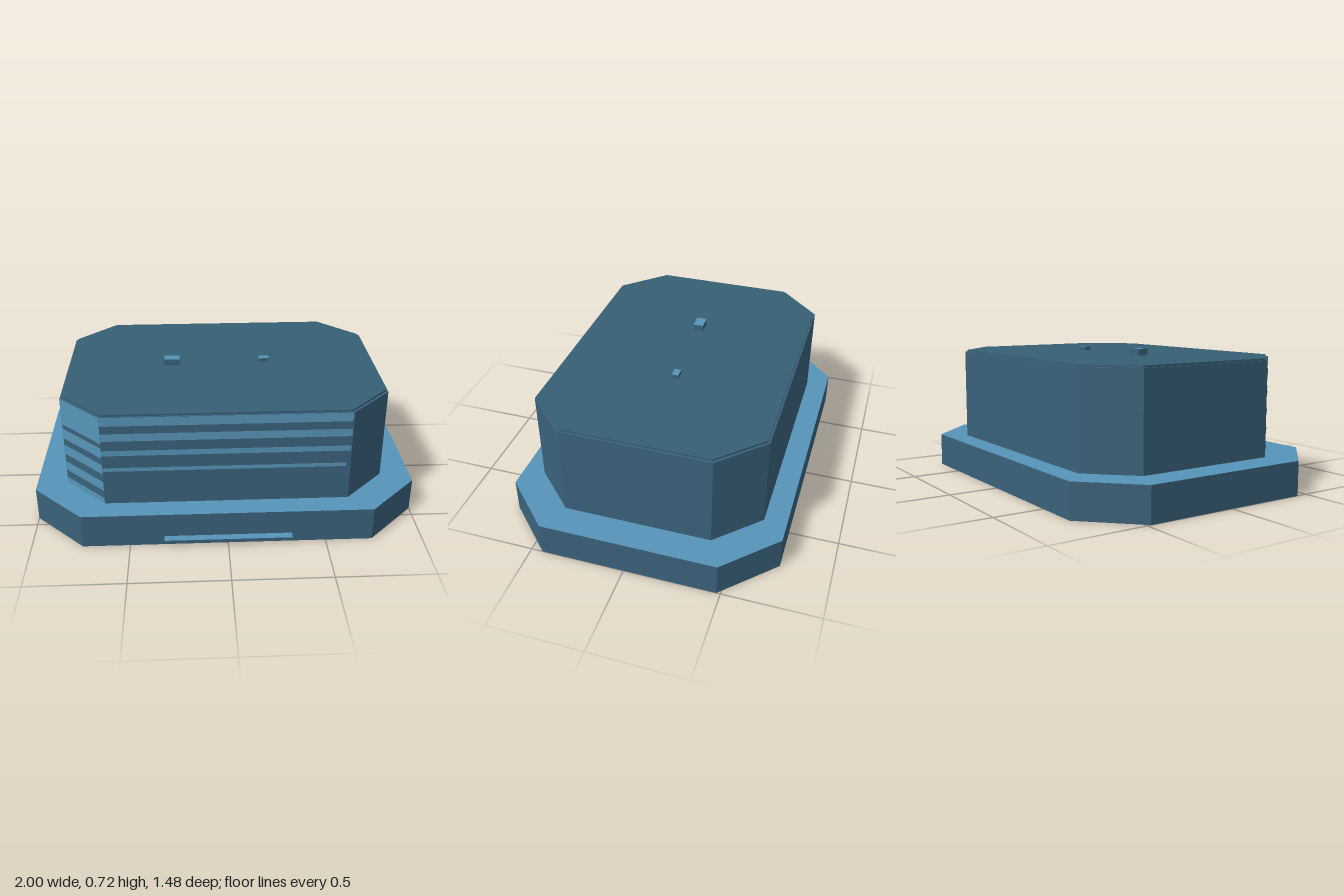
import * as THREE from 'three';

const flat = (name, color) => {
  const m = new THREE.MeshStandardMaterial({ color, side: THREE.DoubleSide });
  m.name = name;
  return m;
};

export function createModel() {
  const model = new THREE.Group();
  model.name = 'steppedOctagonalBlock';
  const dark = flat('slateBlue', 0x3a627b);
  const light = flat('lightBlue', 0x5694b8);
  const roofColor = flat('roofBlue', 0x365f75);
  const midZ = -0.02;

  const add = (name, geometry, material, x = 0, y = 0, z = 0) => {
    const mesh = new THREE.Mesh(geometry, material);
    mesh.name = name;
    mesh.position.set(x, y, z);
    model.add(mesh);
    return mesh;
  };

  // Rectangle with cut corners: half width, half depth, cut along x and z
  const octagon = (w, d, cx, cz) => [
    [w, d - cz], [w - cx, d], [cx - w, d], [-w, d - cz],
    [-w, cz - d], [cx - w, -d], [w - cx, -d], [w, cz - d],
  ];

  // Upright walls around an outline
  const walls = (pts, y0, y1) => {
    const pos = [];
    pts.forEach(([x, z], i) => {
      const [u, v] = pts[(i + 1) % pts.length];
      pos.push(x, y0, z, x, y1, z, u, y1, v, x, y0, z, u, y1, v, u, y0, v);
    });
    const g = new THREE.BufferGeometry();
    g.setAttribute('position', new THREE.Float32BufferAttribute(pos, 3));
    g.computeVertexNormals();
    return g;
  };

  // Horizontal face filling an outline, facing up
  const lid = (pts) => new THREE.ShapeGeometry(
    new THREE.Shape(pts.map(([x, z]) => new THREE.Vector2(x, -z)))).rotateX(-Math.PI / 2);

  // Base: an open-bottomed shell with a light deck
  const base = octagon(1, 0.72, 0.26, 0.26);
  add('baseWalls', walls(base, 0, 0.18), dark, 0, 0, midZ);
  add('baseDeck', lid(base), light, 0, 0.18, midZ);

  // Body and thin roof plate
  const body = octagon(0.84, 0.603, 0.215, 0.218);
  add('bodyWalls', walls(body, 0.18, 0.675), dark, 0, 0, midZ);
  add('bodyTop', lid(body), dark, 0, 0.675, midZ);
  const roof = octagon(0.828, 0.593, 0.21, 0.215);
  add('roofEdge', walls(roof, 0.675, 0.685), roofColor, 0, 0, midZ);
  add('roof', lid(roof), roofColor, 0, 0.685, midZ);

  // Front bands, square at one end and rounded at the other
  const frontZ = midZ + 0.603 + 0.002;
  [[0.627, 0.675, 0.622], [0.543, 0.585, 0.622], [0.46, 0.49, 0.62], [0.37, 0.391, 0.602]]
    .forEach(([y0, y1, end]) => {
      const r = (y1 - y0) / 4;
      const s = new THREE.Shape();
      s.moveTo(-0.625, y0);
      s.lineTo(end - r, y0);
      s.absarc(end - r, y0 + r, r, -Math.PI / 2, 0);
      s.absarc(end - r, y1 - r, r, 0, Math.PI / 2);
      s.lineTo(-0.625, y1);
      add('frontBand', new THREE.ShapeGeometry(s), light, 0, 0, frontZ);
    });

  // Bands across the cut corner on the front right
  const [[ax, az], [bx, bz]] = [body[3], body[2]];
  const length = Math.hypot(bx - ax, bz - az);
  [[0.18, 0.213], [0.257, 0.31], [0.355, 0.41], [0.447, 0.505], [0.53, 0.675]]
    .forEach(([y0, y1]) => {
      const band = add('cornerBand', new THREE.PlaneGeometry(length, y1 - y0), light,
        (ax + bx) / 2 - 0.0015, (y0 + y1) / 2, (az + bz) / 2 + midZ + 0.0015);
      band.rotation.y = -Math.atan2(bz - az, bx - ax);
    });

  // Thin ledge at the front of the base
  add('frontLedge', new THREE.PlaneGeometry(0.65, 0.04).rotateX(-Math.PI / 2), light, 0, 0.05, 0.72);

  // Small roof units with light tops
  [[-0.273, -0.022, 0.082, 0.055, 0.035], [0.232, -0.04, 0.056, 0.035, 0.02]]
    .forEach(([x, z, w, d, h]) => {
      const mats = [dark, dark, light, dark, dark, dark];
      add('roofUnit', new THREE.BoxGeometry(w, h, d), mats, x, 0.685 + h / 2, z);
    });

  return model;
}
